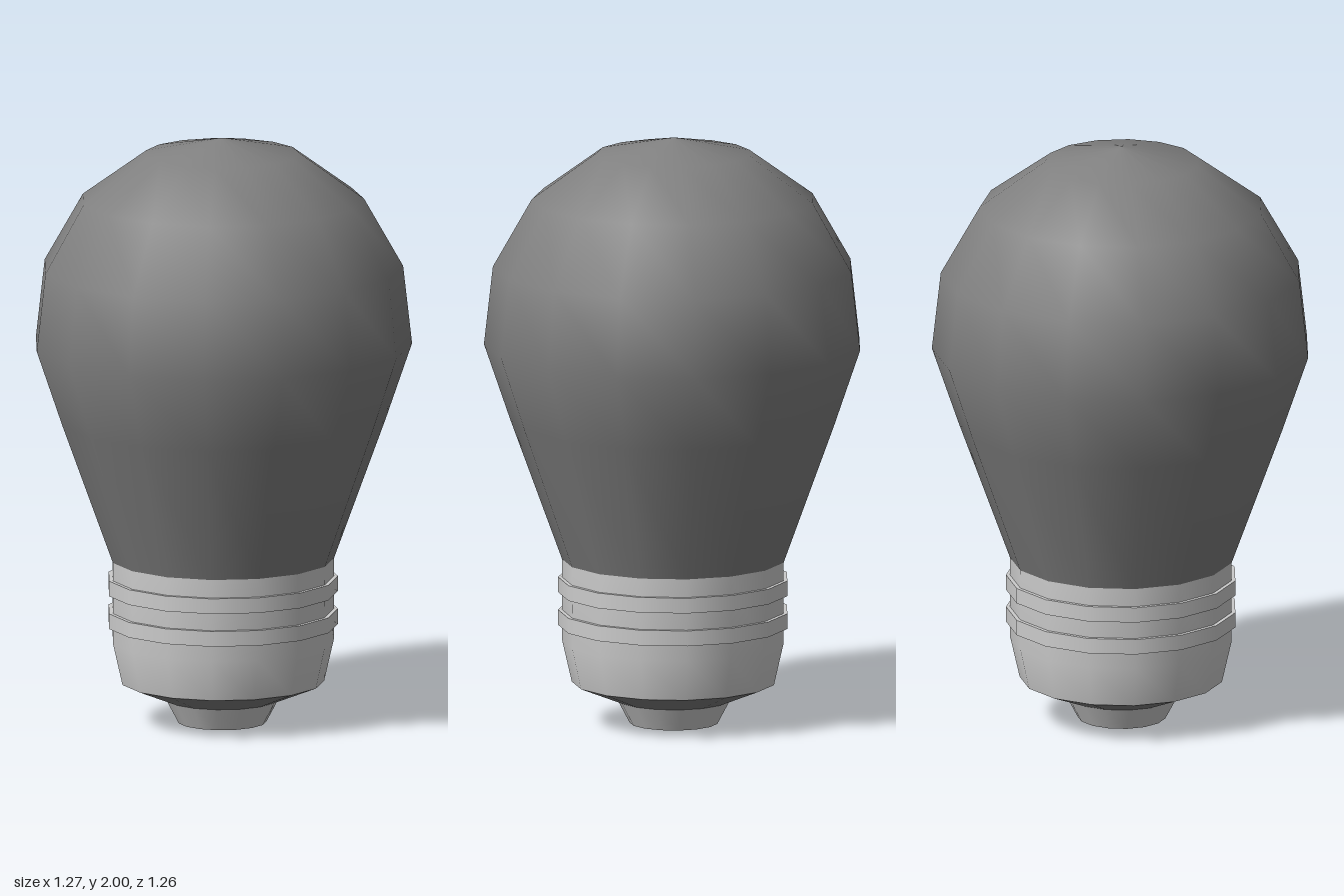
import * as THREE from 'three';

const SIDES = 15;

export function createModel() {
  const model = new THREE.Group();
  const glass = new THREE.MeshStandardMaterial({ color: 0x808080 });
  const metal = new THREE.MeshStandardMaterial({ color: 0xcccccc });
  const insulation = new THREE.MeshStandardMaterial({ color: 0x808080 });

  // Turn a [radius, height] profile, listed upwards, with a corner at the back
  function turned(name, profile, material, parent = model) {
    const points = profile.map(([r, y]) => new THREE.Vector2(r, y));
    const mesh = new THREE.Mesh(new THREE.LatheGeometry(points, SIDES, Math.PI), material);
    mesh.name = name;
    parent.add(mesh);
    return mesh;
  }

  // Smooth glass bulb
  turned('bulb', [
    [0.376, 0.56], [0.549, 1.035], [0.638, 1.295], [0.608, 1.56],
    [0.477, 1.79], [0.26, 1.947], [0, 2],
  ], glass);

  // Metal screw base, straight above and tapered below
  turned('screwBase', [[0.343, 0.14], [0.375, 0.28], [0.376, 0.56]], metal);

  // Two thread bands, each with hard-edged faces
  [0.36, 0.472].forEach((y, i) => {
    const band = new THREE.Group();
    band.name = `threadBand${i + 1}`;
    const [inner, outer, h] = [0.37, 0.389, 0.026];
    turned('bandUnderside', [[inner, y - h], [outer, y - h]], metal, band);
    turned('bandSide', [[outer, y - h], [outer, y + h]], metal, band);
    turned('bandTop', [[outer, y + h], [inner, y + h]], metal, band);
    model.add(band);
  });

  // Sloping insulator and the contact tip below it
  turned('insulator', [[0.19, 0.078], [0.343, 0.14]], insulation);
  turned('contactTip', [[0.149, 0], [0.19, 0.078]], metal);
  turned('contactFace', [[0, 0], [0.149, 0]], metal);

  // The odd side count makes the depth lopsided, so shift to centre it
  model.children.forEach((part) => { part.position.z = 0.007; });
  return model;
}
